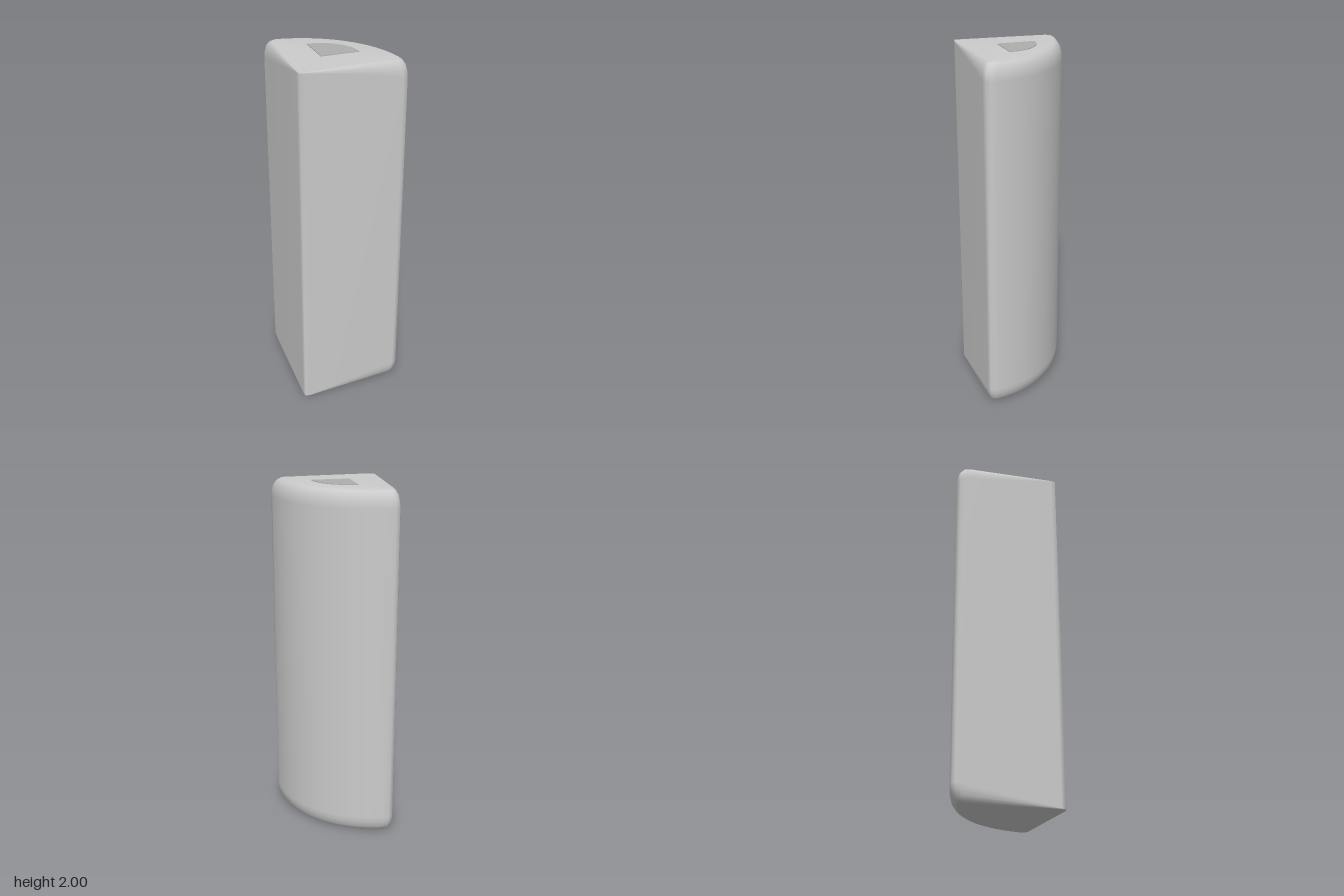
import * as THREE from 'three';

const HEIGHT = 1.997, RADIUS = 0.6, ARC_STEPS = 28;

// Quarter-round outline, measured from the square corner, counter-clockwise from above
function outline() {
  const end = [[0.035, 0.002], [0.56, 0.002], [0.588, 0.012]];
  const pts = [[0.007, 0.007], ...end];
  const a0 = Math.asin(0.035 / RADIUS);
  for (let i = 0; i <= ARC_STEPS; i++) {
    const a = a0 + (Math.PI / 2 - 2 * a0) * i / ARC_STEPS;
    pts.push([RADIUS * Math.cos(a), RADIUS * Math.sin(a)]);
  }
  // mirrored end of the wedge
  for (const [u, v] of end.slice().reverse()) pts.push([v, u]);
  return pts;
}

// Column whose rounded rims widen from the square corner towards the arc
function columnGeometry() {
  const pts = outline(), n = pts.length, pos = [], index = [];
  // [inset amount, height drop]
  const rim = [[1, 0], [0.6, 0.012], [0.24, 0.036], [0.07, 0.068], [0, 0.1]];
  const levels = [
    ...rim.map(([s, d]) => [s, d, false]),
    ...rim.slice().reverse().map(([s, d]) => [s, d, true]),
  ];
  for (const [s, drop, top] of levels) {
    for (const [u, v] of pts) {
      const r = Math.hypot(u, v);
      const w = Math.max(0.06, r / RADIUS);
      const rr = r - 0.045 * s * w * (r > 0.3 ? 1 : 0);
      const a = Math.PI / 4 + (Math.atan2(v, u) - Math.PI / 4) * (1 - 0.08 * s);
      const y = top ? HEIGHT - drop * w : drop * w;
      pos.push(rr * Math.cos(a) - 0.3, y, 0.3 - rr * Math.sin(a));
    }
  }
  for (let k = 0; k < levels.length - 1; k++) {
    for (let i = 0; i < n; i++) {
      const j = (i + 1) % n;
      const a = k * n + i, b = k * n + j, c = b + n, d = a + n;
      index.push(a, b, c, a, c, d);
    }
  }
  // end caps
  const bottom = pos.length / 3, top = bottom + 1, last = (levels.length - 1) * n;
  pos.push(-0.05, 0, 0.05, -0.05, HEIGHT, 0.05);
  for (let i = 0; i < n; i++) {
    const j = (i + 1) % n;
    index.push(bottom, j, i, top, last + i, last + j);
  }
  const geo = new THREE.BufferGeometry();
  geo.setAttribute('position', new THREE.Float32BufferAttribute(pos, 3));
  geo.setIndex(index);
  geo.computeVertexNormals();
  return geo;
}

// Thin quarter-round plate on the top face
function plateGeometry() {
  const shape = new THREE.Shape();
  shape.moveTo(0, 0);
  shape.lineTo(0.21, 0);
  shape.absarc(0, 0, 0.21, 0, Math.PI / 2, false);
  shape.closePath();
  const geo = new THREE.ExtrudeGeometry(shape, { depth: 0.006, bevelEnabled: false, curveSegments: 24 });
  geo.rotateX(-Math.PI / 2);
  geo.translate(-0.11, HEIGHT - 0.003, 0.103);
  return geo;
}

export function createModel() {
  const group = new THREE.Group();
  group.name = 'quarterRoundColumn';

  const column = new THREE.Mesh(columnGeometry(), new THREE.MeshStandardMaterial({ color: 0xcccccc }));
  column.name = 'column';

  const plate = new THREE.Mesh(plateGeometry(), new THREE.MeshStandardMaterial({ color: 0xaeaeae }));
  plate.name = 'topPlate';

  group.add(column, plate);
  return group;
}
